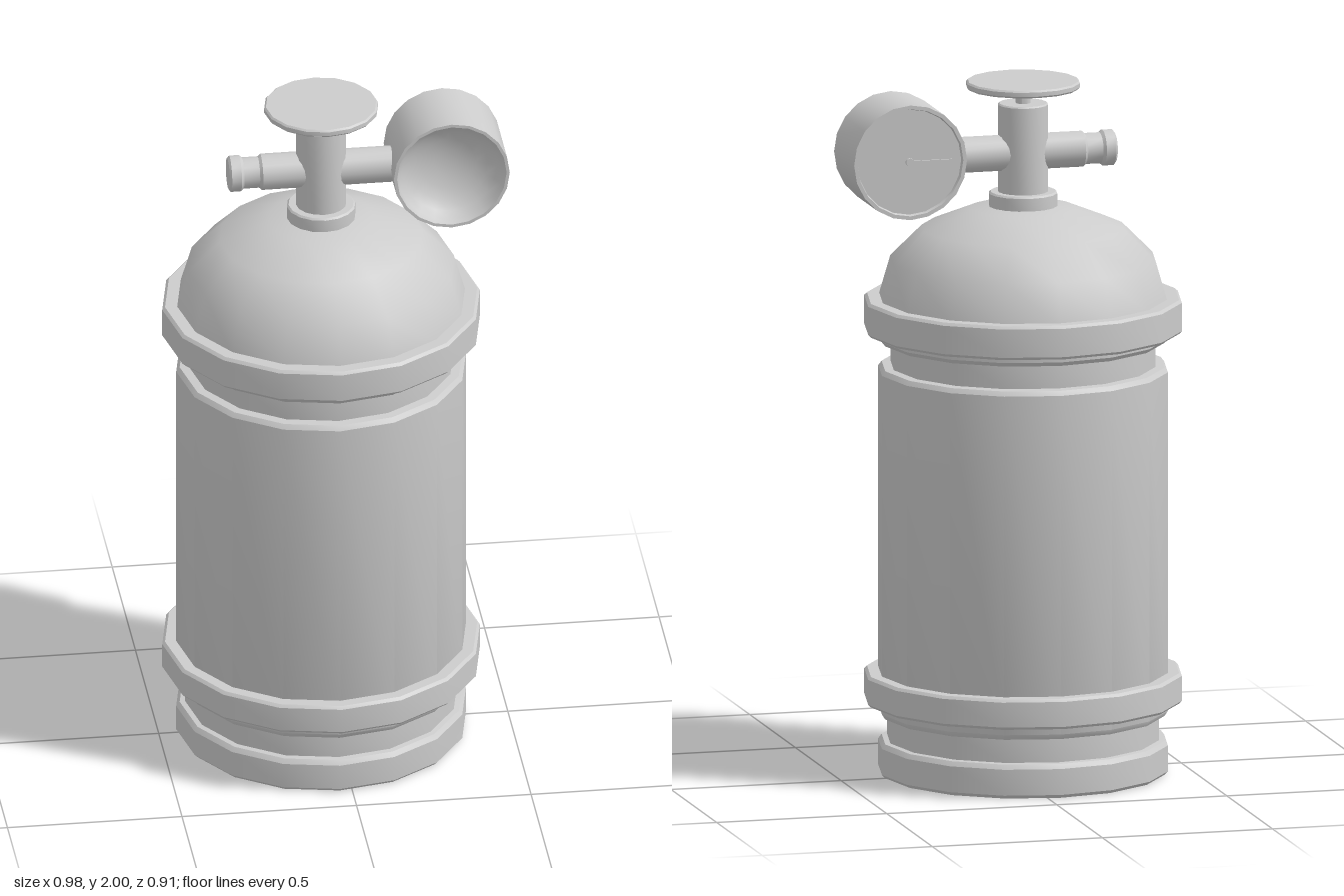
import * as THREE from 'three';
import { toCreasedNormals } from 'three/addons/utils/BufferGeometryUtils.js';

const AXIS_X = -0.035;
const material = new THREE.MeshStandardMaterial({ color: 0xcccccc });

// Turned part from [radius, height] pairs, listed so the outside faces out
function turned(name, profile, sides = 16, crease = 0.6) {
  const points = profile.map(([r, y]) => new THREE.Vector2(r, y));
  const geometry = toCreasedNormals(new THREE.LatheGeometry(points, sides), crease);
  const mesh = new THREE.Mesh(geometry, material);
  mesh.name = name;
  return mesh;
}

// Closed ring or disc with small bevels on its outer edges
function bevelled(name, radius, bottom, top, bevel) {
  return turned(name, [
    [0, bottom], [radius - bevel, bottom], [radius, bottom + bevel],
    [radius, top - bevel], [radius - bevel, top], [0, top],
  ]);
}

function createGauge() {
  const gauge = new THREE.Group();
  gauge.name = 'gauge';

  // Case with a recessed dial at one end and a shallow bowl at the other
  const profile = [[0, -0.098], [0.152, -0.098], [0.155, -0.11], [0.166, -0.11], [0.166, 0.11], [0.157, 0.11]];
  const steps = 6;
  for (let i = 1; i <= steps; i++) {
    const a = (i / steps) * Math.PI / 2;
    profile.push([i === steps ? 0 : 0.157 * Math.cos(a), 0.11 - 0.09 * Math.sin(a)]);
  }
  const body = turned('gaugeCase', profile, 20);
  body.rotation.x = Math.PI / 2;
  gauge.add(body);

  // Needle and hub on the dial
  const needle = new THREE.Mesh(new THREE.BoxGeometry(0.13, 0.007, 0.006), material);
  needle.name = 'needle';
  needle.position.set(-0.06, 0, -0.101);
  const hub = new THREE.Mesh(new THREE.CylinderGeometry(0.012, 0.012, 0.012, 10), material);
  hub.name = 'needleHub';
  hub.rotation.x = Math.PI / 2;
  hub.position.z = -0.102;
  gauge.add(needle, hub);

  gauge.position.set(0.325, 1.8, 0);
  return gauge;
}

export function createModel() {
  const model = new THREE.Group();
  model.name = 'gasCylinder';

  const cylinder = new THREE.Group();
  cylinder.name = 'cylinder';
  cylinder.position.x = AXIS_X;
  model.add(cylinder);

  // Foot, lower groove, main barrel and upper groove
  cylinder.add(turned('tank', [
    [0, 0], [0.405, 0], [0.415, 0.01], [0.415, 0.085], [0.405, 0.098], [0.39, 0.1],
    [0.39, 0.17], [0.405, 0.17], [0.415, 0.185], [0.415, 1.165], [0.405, 1.178],
    [0.38, 1.18], [0.38, 1.25], [0.405, 1.25], [0.415, 1.262], [0.415, 1.37], [0, 1.37],
  ]));

  // Bands around the barrel
  cylinder.add(bevelled('lowerBand', 0.455, 0.207, 0.295, 0.008));
  cylinder.add(bevelled('upperBand', 0.455, 1.277, 1.375, 0.008));

  // Rounded shoulder
  cylinder.add(turned('dome', [
    [0.415, 1.365], [0.38, 1.485], [0.29, 1.575], [0.15, 1.632], [0, 1.65],
  ], 16, 1));

  // Neck, valve stem, spindle and hand wheel
  cylinder.add(bevelled('neckRing', 0.098, 1.63, 1.68, 0.005));
  cylinder.add(bevelled('valveStem', 0.072, 1.66, 1.935, 0.004));
  cylinder.add(turned('spindle', [[0.021, 1.93], [0.021, 1.985]]));
  cylinder.add(bevelled('handWheel', 0.163, 1.978, 2.0, 0.005));

  // Cross pipe with a grooved outlet, its profile running along x
  const pipe = turned('outletPipe', [
    [0, -0.302], [0.045, -0.302], [0.052, -0.296], [0.052, -0.268], [0.045, -0.26],
    [0.045, -0.215], [0.052, -0.207], [0.052, 0.2], [0, 0.2],
  ]);
  pipe.rotation.z = -Math.PI / 2;
  pipe.position.y = 1.793;
  model.add(pipe);

  model.add(createGauge());
  return model;
}
